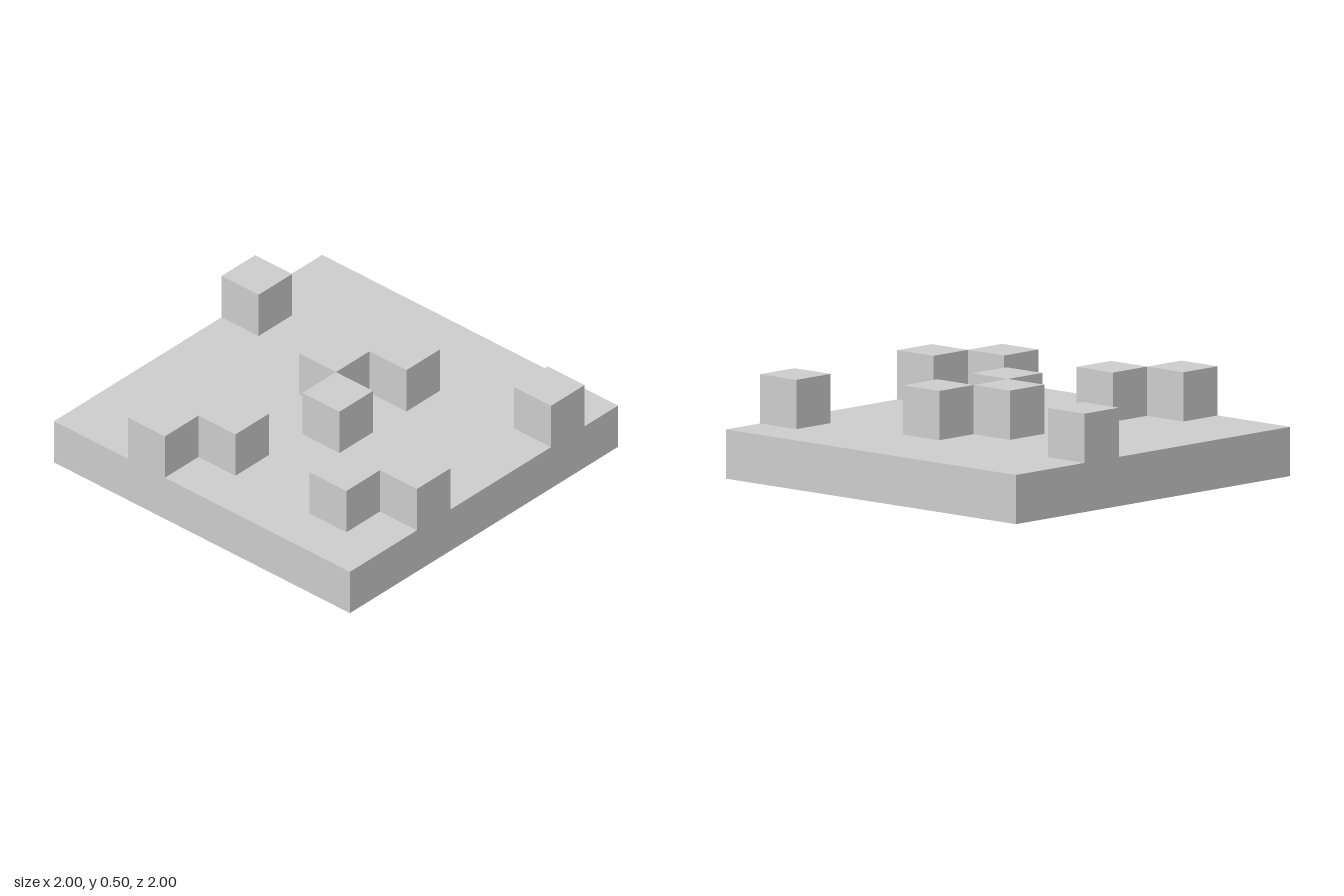
import * as THREE from 'three';
import { mergeGeometries } from 'three/addons/utils/BufferGeometryUtils.js';

const CELL = 0.25; // grid step and height of one layer
const COUNT = 8; // cells per side

// Raised cells as [column, row]: columns run along +x, rows along +z
const RAISED = [
  [5, 0], [0, 2], [1, 3], [4, 3], [3, 4], [5, 4], [1, 6], [2, 7], [6, 7],
];

const material = new THREE.MeshStandardMaterial({
  color: 0xcccccc, flatShading: true, side: THREE.DoubleSide,
});

const cellCentre = (i) => (i + 0.5) * CELL - 1;

// Four upright walls around a square, facing outwards, standing on y = 0
function wallRing(size, height) {
  const walls = [];
  for (let i = 0; i < 4; i++) {
    walls.push(new THREE.PlaneGeometry(size, height)
      .translate(0, height / 2, size / 2)
      .rotateY(i * Math.PI / 2));
  }
  return walls;
}

// Level square facing up
const levelSquare = (size, x, y, z) =>
  new THREE.PlaneGeometry(size, size).rotateX(-Math.PI / 2).translate(x, y, z);

function addMesh(parent, name, geometries) {
  const mesh = new THREE.Mesh(mergeGeometries(geometries), material);
  mesh.name = name;
  parent.add(mesh);
  return mesh;
}

export function createModel() {
  const model = new THREE.Group();
  model.name = 'blockTerrain';

  // Outer walls of the hollow slab, open underneath
  addMesh(model, 'slabWalls', wallRing(CELL * COUNT, CELL));

  // Slab top, left open below every raised block
  const tiles = [];
  for (let row = 0; row < COUNT; row++) {
    for (let col = 0; col < COUNT; col++) {
      if (RAISED.some(([c, r]) => c === col && r === row)) continue;
      tiles.push(levelSquare(CELL, cellCentre(col), CELL, cellCentre(row)));
    }
  }
  addMesh(model, 'slabTop', tiles);

  // Hollow raised blocks, open into the slab
  const blocks = new THREE.Group();
  blocks.name = 'raisedBlocks';
  for (const [col, row] of RAISED) {
    const block = addMesh(blocks, 'raisedBlock',
      [...wallRing(CELL, CELL), levelSquare(CELL, 0, CELL, 0)]);
    block.position.set(cellCentre(col), CELL, cellCentre(row));
  }
  model.add(blocks);

  return model;
}
